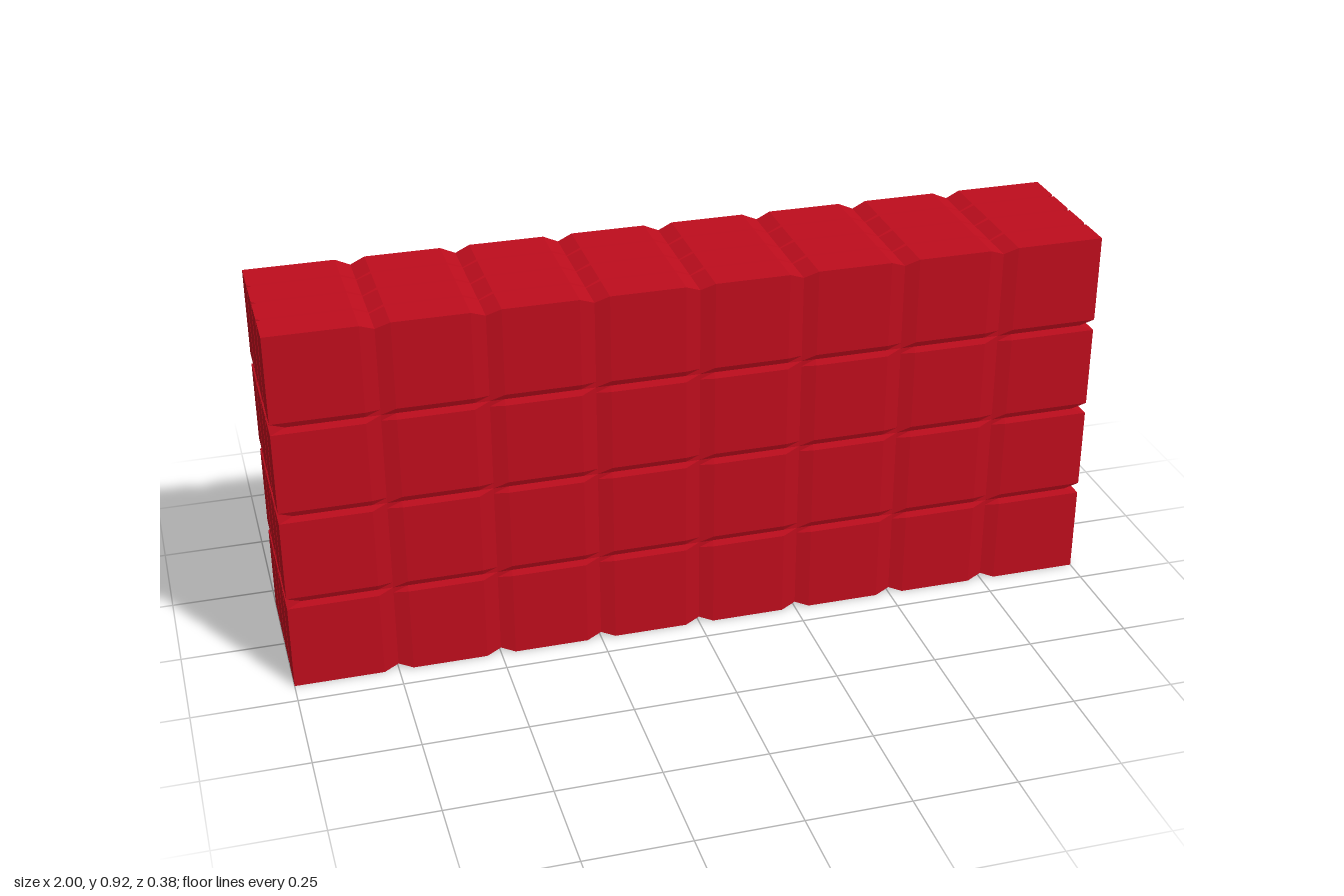
import * as THREE from 'three';

// Number of blocks, overall size and groove half-width / depth along x, y, z
const COUNT = [8, 4, 4];
const SIZE = [2, 0.916, 0.376];
const BEVEL = [0.035, 0.014, 0.006];

// Three lattice lines per block: seam, bevel edge, bevel edge
function linePosition(index, axis) {
  const pitch = SIZE[axis] / COUNT[axis];
  const offset = [0, BEVEL[axis], pitch - BEVEL[axis]][index % 3];
  return Math.floor(index / 3) * pitch + offset - SIZE[axis] / 2;
}

function blockWallGeometry() {
  const segments = COUNT.map((n) => n * 3);
  const geometry = new THREE.BoxGeometry(...segments, ...segments);
  const position = geometry.attributes.position;
  for (let v = 0; v < position.count; v++) {
    const index = segments.map((n, axis) => Math.round(position.getComponent(v, axis) + n / 2));
    const isEnd = index.map((i, axis) => i === 0 || i === segments[axis]);
    const onSeam = index.some((i, axis) => i % 3 === 0 && !isEnd[axis]);
    index.forEach((i, axis) => {
      let p = linePosition(i, axis);
      // Seams sink below the outer faces, forming V grooves
      if (onSeam && isEnd[axis]) p -= Math.sign(p) * BEVEL[axis];
      position.setComponent(v, axis, p);
    });
  }
  const faceted = geometry.toNonIndexed();
  faceted.computeVertexNormals();
  return faceted;
}

export function createModel() {
  const model = new THREE.Group();
  model.name = 'blockStack';
  const material = new THREE.MeshStandardMaterial({ color: 0xbf0d1d, flatShading: true });
  const wall = new THREE.Mesh(blockWallGeometry(), material);
  wall.name = 'stackedBlocks';
  wall.position.y = SIZE[1] / 2;
  model.add(wall);
  return model;
}
